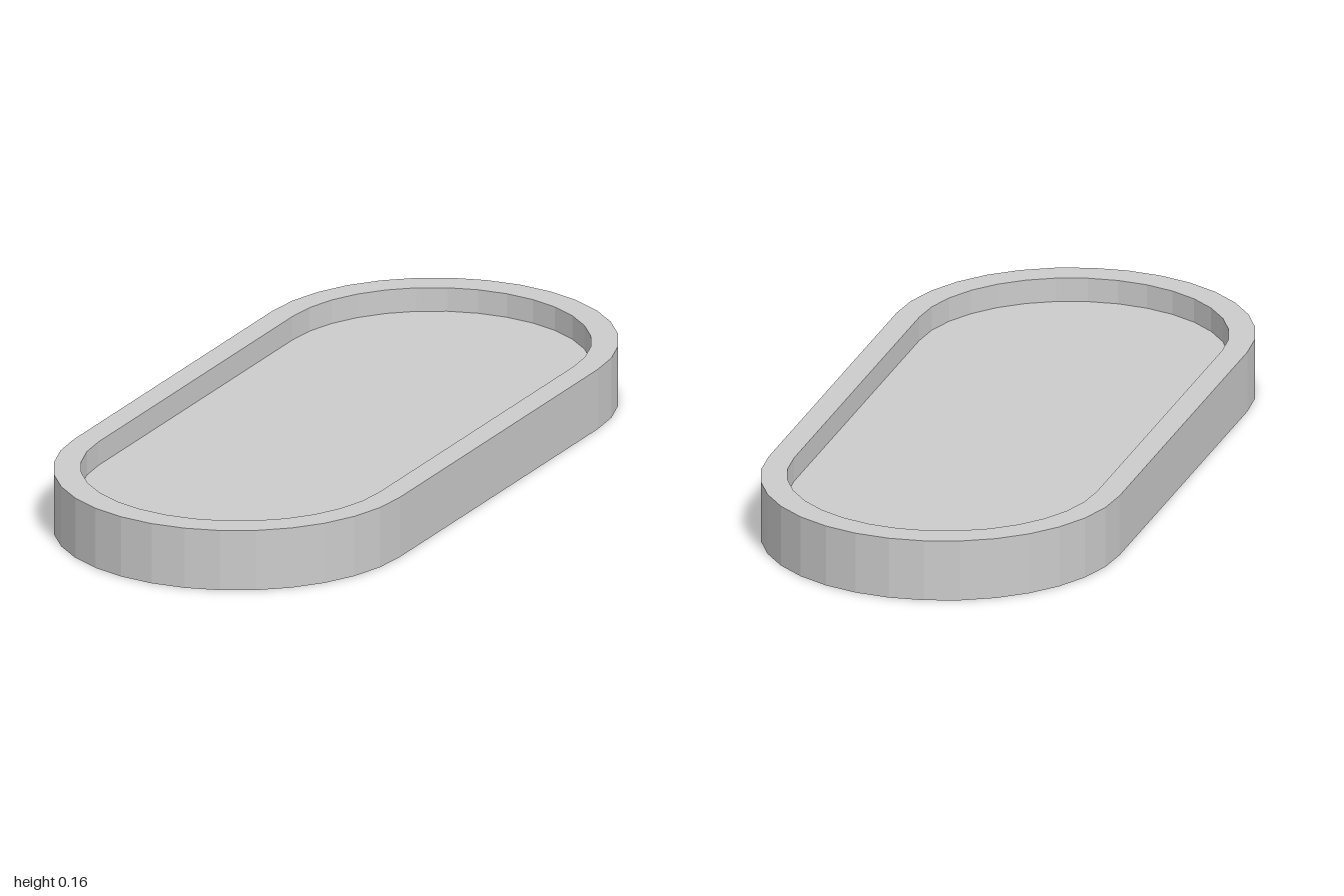
import * as THREE from 'three';

const HEIGHT = 0.16;
const FLOOR_BOTTOM = 0.046;
const FLOOR_TOP = 0.097;

// Stadium outline: two half circles joined by straight sides
function trace(path, radius, centre) {
  path.absarc(0, centre, radius, 0, Math.PI, false);
  path.absarc(0, -centre, radius, Math.PI, Math.PI * 2, false);
  path.closePath();
  return path;
}

// Extrude a plan shape upwards from y0 to y1, 16 facets per rounded end
function slab(name, shape, y0, y1, material) {
  const geometry = new THREE.ExtrudeGeometry(shape, {
    depth: y1 - y0,
    bevelEnabled: false,
    curveSegments: 8,
  });
  geometry.rotateX(-Math.PI / 2);
  geometry.translate(0, y0, 0);
  const mesh = new THREE.Mesh(geometry, material);
  mesh.name = name;
  return mesh;
}

export function createModel() {
  const model = new THREE.Group();
  model.name = 'ovalTray';
  const material = new THREE.MeshStandardMaterial({ color: 0xcccccc, flatShading: true });

  // Raised wall around the tray
  const rim = trace(new THREE.Shape(), 0.464, 0.536);
  rim.holes.push(trace(new THREE.Path(), 0.4, 0.525));
  model.add(slab('rim', rim, 0, HEIGHT, material));

  // Floor panel, recessed from above and below
  const floor = trace(new THREE.Shape(), 0.4, 0.525);
  model.add(slab('floor', floor, FLOOR_BOTTOM, FLOOR_TOP, material));

  return model;
}
